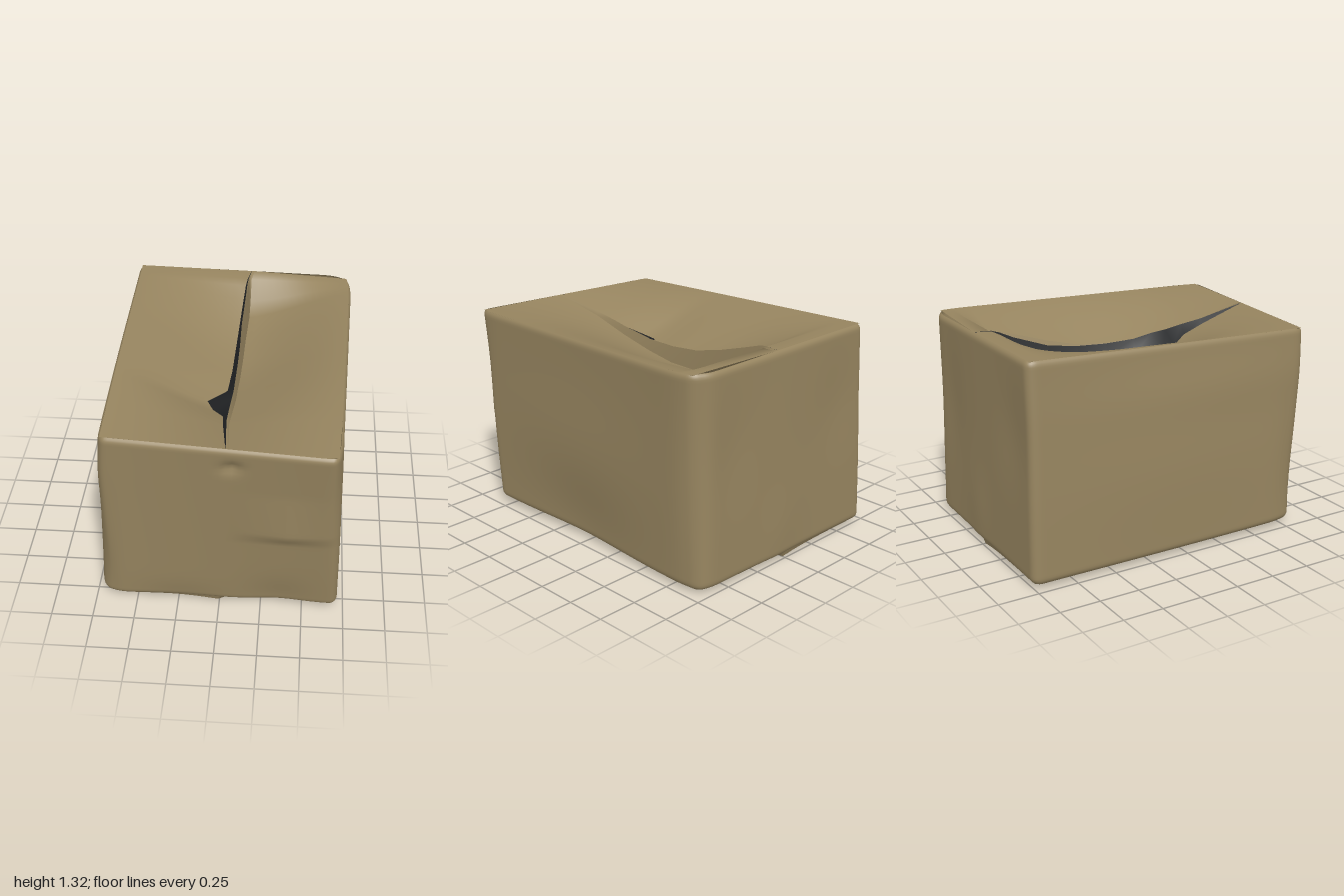
import * as THREE from 'three';
import { mergeVertices } from 'three/addons/utils/BufferGeometryUtils.js';

const lerp = THREE.MathUtils.lerp;
const R = 0.07;                    // edge rounding, as a share of the half size
const K = 1 - R + R * Math.SQRT1_2; // where walls and top meet

// Corners of the crooked carton: [y][z][x], low to high
const CORNERS = [
  [[[-0.72, 0.02, -1.015], [0.715, 0.01, -0.98]], [[-0.73, 0.03, 0.84], [0.715, 0.03, 0.85]]],
  [[[-0.66, 1.33, -0.995], [0.75, 1.315, -0.965]], [[-0.66, 1.265, 0.89], [0.68, 1.275, 1.02]]],
];

// Soft dents: centre, radii, push
const DENTS = [
  [[-0.72, 0.6, 0], [0.3, 0.5, 0.8], [-0.03, 0, 0]],
  [[-0.7, 1.0, 0.2], [0.25, 0.17, 0.9], [-0.012, 0, 0]],
  [[0.72, 0.05, 0.05], [0.3, 0.35, 0.45], [-0.035, 0, 0]],
  [[0.72, 0.6, 0.1], [0.2, 0.35, 0.6], [0.015, 0, 0]],
  [[0.35, 0.05, 0.9], [0.18, 0.16, 0.15], [0, 0, -0.025]],
  [[-0.25, 0.02, 0.9], [0.25, 0.12, 0.15], [0, 0, -0.02]],
  [[0.08, 1.13, 0.96], [0.05, 0.04, 0.1], [0, 0, -0.03]],
  [[0.05, 0.2, -1], [0.14, 0.25, 0.1], [0, 0, -0.01]],
  [[0.45, 0.8, -1], [0.18, 0.35, 0.1], [0, 0, 0.015]],
  [[-0.45, 0.85, -1], [0.2, 0.3, 0.1], [0, 0, 0.015]],
  // worn corners
  [[-0.72, 0.25, 0.88], [0.09, 0.6, 0.14], [0.04, 0, -0.03]],
  [[0.7, 0.9, 0.98], [0.06, 0.7, 0.09], [-0.01, 0, -0.02]],
  [[0.74, 0.7, -0.98], [0.09, 1.2, 0.13], [-0.03, 0, 0.05]],
];

// Maps a point of the -1..1 cube onto the crooked carton
function warp(x, y, z) {
  const [u, v, w] = [x, y, z].map((c) => (c + 1) / 2);
  const p = [0, 1, 2].map((i) => {
    const level = CORNERS.map((l) => lerp(
      lerp(l[0][0][i], l[0][1][i], u), lerp(l[1][0][i], l[1][1][i], u), w));
    return lerp(level[0], level[1], v);
  });
  const q = p.slice();
  for (const [c, r, push] of DENTS) {
    const d = p.reduce((s, a, i) => s + ((a - c[i]) / r[i]) ** 2, 0);
    const f = Math.exp(-d);
    push.forEach((a, i) => { q[i] += a * f; });
  }
  // Horizontal crease on the front wall
  if (z > 0.9) {
    const dy = p[1] - 0.62;
    const fy = Math.max(0, 1 - (dy > 0 ? dy / 0.32 : -dy / 0.04));
    q[2] += 0.03 * fy * Math.max(0, 1 - Math.abs(p[0] - 0.4) / 0.33);
  }
  return q;
}

// Walls and bottom: a rounded cube without its top, warped
function makeWalls() {
  const n = 50;
  const geo = new THREE.BoxGeometry(2, 2, 2, n, n, n);
  const top = geo.groups[2];
  const index = Array.from(geo.index.array);
  index.splice(top.start, top.count);
  geo.setIndex(index);
  geo.clearGroups();
  geo.deleteAttribute('uv');
  geo.deleteAttribute('normal');
  const pos = geo.attributes.position;
  const v = new THREE.Vector3(), inner = new THREE.Vector3();
  for (let i = 0; i < pos.count; i++) {
    v.fromBufferAttribute(pos, i);
    // crowd the grid lines towards the edges
    v.set(...v.toArray().map((c) => lerp(c, Math.sin(c * Math.PI / 2), 0.7)));
    const low = v.y < -0.99;
    inner.copy(v).clampScalar(-1 + R, 1 - R);
    v.sub(inner).normalize().multiplyScalar(R).add(inner);
    const p = warp(v.x, v.y, v.z);
    // the two bottom flaps meet at a step along the middle
    if (low) {
      const near = Math.exp(-Math.abs(p[0]) / 0.25);
      p[1] += p[0] < 0 ? -0.025 * near : 0.008 * near;
    }
    pos.setXYZ(i, p[0], Math.max(0, p[1]), p[2]);
  }
  const merged = mergeVertices(geo, 1e-4);
  merged.computeVertexNormals();
  return merged;
}

// Smooth sheet through rows of points, rows running front to back
function sheet(rows) {
  const cols = rows[0].length;
  const index = [];
  for (let i = 0; i < rows.length - 1; i++) {
    for (let j = 0; j < cols - 1; j++) {
      const a = i * cols + j, c = a + cols;
      index.push(a, a + 1, c, a + 1, c + 1, c);
    }
  }
  const geo = new THREE.BufferGeometry();
  geo.setAttribute('position', new THREE.Float32BufferAttribute(rows.flat(2), 3));
  geo.setIndex(index);
  geo.computeVertexNormals();
  return geo;
}

// Sagging seam: z, x of left and right edge, heights of left edge,
// right edge and the foot below it, dark share of the gap
const SEAM = [
  [0.6, 0.01, 0.03, 1.17, 1.2, 1.18, 1],
  [0.45, 0, 0.035, 1.12, 1.18, 1.14, 1],
  [0.33, -0.07, 0.04, 1.08, 1.16, 1.11, 1],
  [0.23, -0.11, 0.045, 1.07, 1.15, 1.09, 1],
  [0.1, 0, 0.045, 1.06, 1.13, 1.06, 1],
  [-0.1, 0.015, 0.05, 1.07, 1.13, 1.03, 0.95],
  [-0.3, 0.02, 0.055, 1.08, 1.15, 1.03, 0.85],
  [-0.5, 0.03, 0.06, 1.13, 1.2, 1.06, 0.6],
  [-0.72, 0.045, 0.07, 1.22, 1.27, 1.09, 0.6],
  [-0.81, 0.055, 0.072, 1.28, 1.3, 1.16, 0.6],
  [-0.86, 0.065, 0.075, 1.305, 1.31, 1.3, 0.6],
];

function makeTop() {
  const flaps = { left: [], gap: [], edge: [], lip: [], right: [] };
  const STEPS = 14;
  // a flap profile, from its rim down to its loose edge
  const droop = (rim, edge) => Array.from({ length: STEPS + 1 }, (_, k) => {
    const t = k / STEPS;
    const sag = lerp(t, t * t * (3 - 2 * t), 0.45);
    return [lerp(rim[0], edge[0], t), lerp(rim[1], edge[1], sag), lerp(rim[2], edge[2], t)];
  });
  const addRow = (v, l, r, foot, share) => {
    const m = l.map((c, i) => lerp(c, r[i], share));
    flaps.left.push(droop(warp(-K, K, v), l));
    flaps.gap.push([l, m]);
    flaps.edge.push([m, r]);
    flaps.lip.push([r, foot]);
    flaps.right.push(droop(warp(K, K, v), foot).reverse());
  };
  const endRow = (v) => addRow(v, ...[0.04, 0.043, 0.06].map((x) => warp(x / 0.7, K, v)), 0.6);
  endRow(K);
  SEAM.forEach(([z, xl, xr, yl, yr, foot, share]) =>
    addRow(z / 0.96, [xl, yl, z], [xr, yr, z], [xr + 0.015, foot, z], share));
  endRow(-K);
  return flaps;
}

export function createModel() {
  const cardboard = new THREE.MeshStandardMaterial({ color: 0x96845f, side: THREE.DoubleSide });
  cardboard.name = 'cardboard';
  const dark = new THREE.MeshStandardMaterial({ color: 0x222426, side: THREE.DoubleSide });
  dark.name = 'darkInside';

  const group = new THREE.Group();
  group.name = 'cardboardBox';
  const add = (name, geo, mat) => {
    const mesh = new THREE.Mesh(geo, mat);
    mesh.name = name;
    group.add(mesh);
  };

  add('wallsAndBottom', makeWalls(), cardboard);
  const top = makeTop();
  add('leftTopFlap', sheet(top.left), cardboard);
  add('openGap', sheet(top.gap), dark);
  add('rightFlapEdge', sheet(top.edge), cardboard);
  add('rightFlapLip', sheet(top.lip), cardboard);
  add('rightTopFlap', sheet(top.right), cardboard);
  return group;
}
